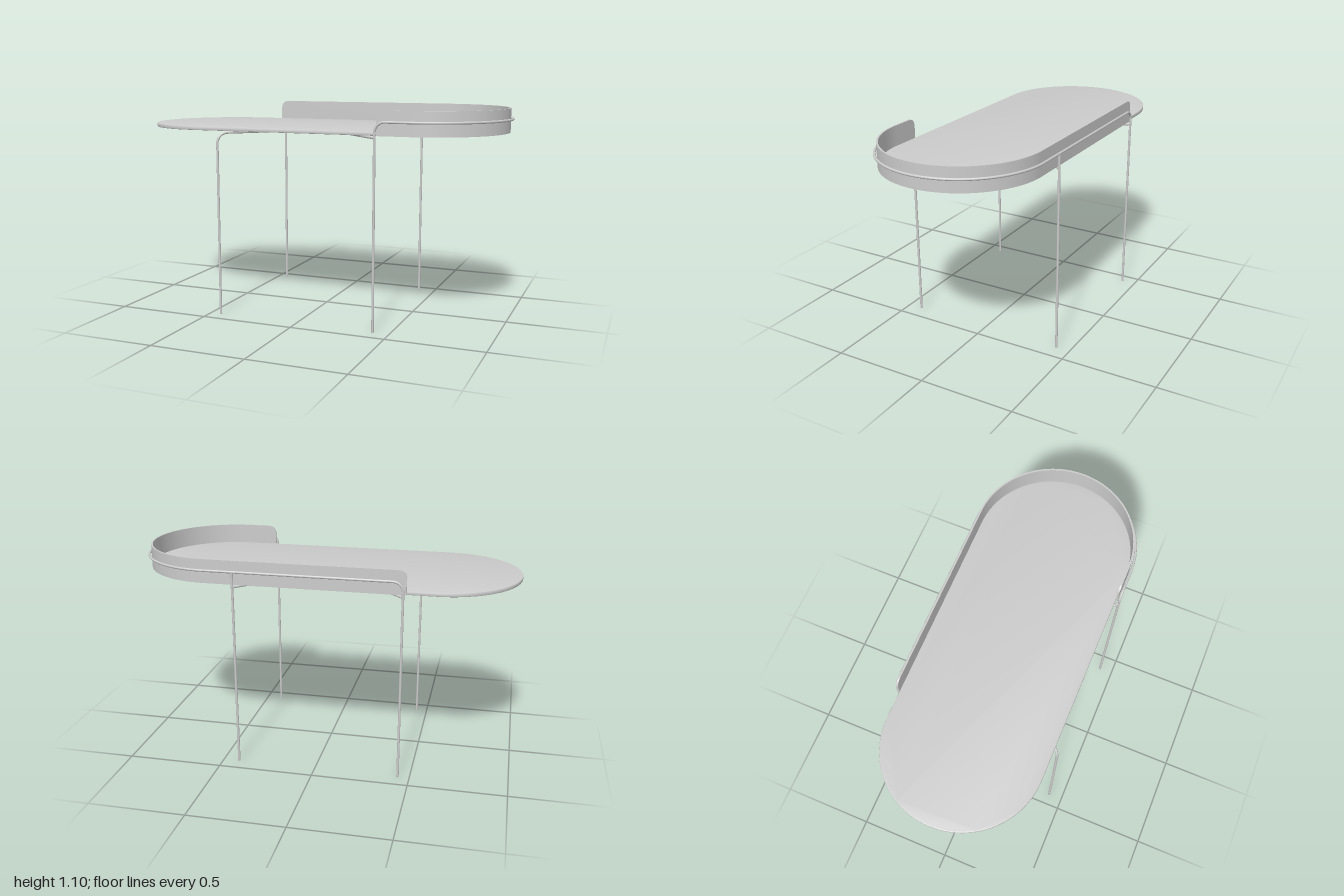
import * as THREE from 'three';
import { toCreasedNormals } from 'three/addons/utils/BufferGeometryUtils.js';

const V = (x, y, z) => new THREE.Vector3(x, y, z);
const R = 0.0065;                 // rod radius
const LEFT = 0.415, RIGHT = -0.44; // leg x positions
const LEG_Z = 0.424, RAIL_Y = 1.045, BAR_Y = 0.968;
const ARC_X = 0.57;               // centre of the rounded end

// Straight lines between points, with the corners rounded off
function roundedPath(points, r) {
  const path = new THREE.CurvePath();
  let start = points[0];
  for (let i = 1; i < points.length - 1; i++) {
    const p = points[i];
    const a = p.clone().add(points[i - 1].clone().sub(p).setLength(r));
    const b = p.clone().add(points[i + 1].clone().sub(p).setLength(r));
    const k = 0.55;
    path.add(new THREE.LineCurve3(start, a));
    path.add(new THREE.CubicBezierCurve3(a, a.clone().lerp(p, k), b.clone().lerp(p, k), b));
    start = b;
  }
  path.add(new THREE.LineCurve3(start, points[points.length - 1]));
  return path;
}

// Half circle around the +x end, from front to back
class EndArc extends THREE.Curve {
  getPoint(t, target = new THREE.Vector3()) {
    const a = Math.PI * (0.5 - t);
    return target.set(ARC_X + LEG_Z * Math.cos(a), RAIL_Y, LEG_Z * Math.sin(a));
  }
}

// Upright wall following the front, the rounded end and the back
function rimGeometry(outer, inner, y0, y1, frontX, backX, corner) {
  const stations = []; // [x, normal x, normal z, top y]
  const ease = [];
  for (let i = 0; i <= 8; i++) {
    const a = (i / 8) * Math.PI / 2;
    ease.push([corner * (1 - Math.cos(a)), y1 - corner * (1 - Math.sin(a))]);
  }
  for (const [d, y] of ease) stations.push([frontX + d, 0, 1, y]);
  for (let i = 0; i <= 64; i++) {
    const a = Math.PI * (0.5 - i / 64);
    stations.push([ARC_X, Math.cos(a), Math.sin(a), y1]);
  }
  for (const [d, y] of ease.reverse()) stations.push([backX + d, 0, -1, y]);

  const pos = [], index = [];
  for (const [x, nx, nz, top] of stations) {
    for (const [r, y] of [[outer, y0], [outer, top], [inner, top], [inner, y0]]) {
      pos.push(x + nx * r, y, nz * r);
    }
  }
  const n = stations.length;
  for (let i = 0; i < n - 1; i++) {
    for (let j = 0; j < 4; j++) {
      const a = i * 4 + j, b = i * 4 + (j + 1) % 4;
      index.push(a, a + 4, b, b, a + 4, b + 4);
    }
  }
  const e = (n - 1) * 4;
  index.push(0, 1, 2, 0, 2, 3, e, e + 2, e + 1, e, e + 3, e + 2);
  const g = new THREE.BufferGeometry();
  g.setAttribute('position', new THREE.Float32BufferAttribute(pos, 3));
  g.setIndex(index);
  return toCreasedNormals(g, 0.6);
}

export function createModel() {
  const group = new THREE.Group();
  const grey = new THREE.MeshStandardMaterial({ color: 0xcccccc, side: THREE.DoubleSide });
  grey.name = 'light grey';

  const add = (name, geometry) => {
    const mesh = new THREE.Mesh(geometry, grey);
    mesh.name = name;
    group.add(mesh);
    return mesh;
  };
  const rod = (name, path, segments) =>
    add(name, new THREE.TubeGeometry(path, segments, R, 10, false));
  const bar = (name, a, b) => rod(name, new THREE.LineCurve3(a, b), 1);

  // Tabletop with a slightly softened edge
  const bevel = 0.004, r = 0.405 - bevel;
  const shape = new THREE.Shape();
  shape.absarc(ARC_X, 0, r, -Math.PI / 2, Math.PI / 2, false);
  shape.absarc(-0.595, 0, r, Math.PI / 2, Math.PI * 1.5, false);
  const top = new THREE.ExtrudeGeometry(shape, {
    depth: 0.012, bevelEnabled: true, bevelThickness: bevel, bevelSize: bevel,
    bevelSegments: 2, curveSegments: 48,
  });
  top.rotateX(-Math.PI / 2).translate(0, 0.981, 0);
  add('tabletop', toCreasedNormals(top, 0.5));

  // Raised rim around one end
  add('rim', rimGeometry(0.413, 0.404, 0.977, 1.1, 0.42, -0.455, 0.04));

  // Front leg, rail around the rim and back leg, bent from one rod
  const frame = new THREE.CurvePath();
  const front = roundedPath([V(LEFT, 0, LEG_Z), V(LEFT, RAIL_Y, LEG_Z), V(ARC_X, RAIL_Y, LEG_Z)], 0.05);
  const back = roundedPath([V(ARC_X, RAIL_Y, -LEG_Z), V(RIGHT, RAIL_Y, -LEG_Z), V(RIGHT, 0, -LEG_Z)], 0.05);
  [...front.curves, new EndArc(), ...back.curves].forEach(c => frame.add(c));
  rod('railAndLegs', frame, 480);

  // Straight back leg up to the rail
  bar('backLeftLeg', V(LEFT, 0, -LEG_Z), V(LEFT, RAIL_Y, -LEG_Z));

  // Front right leg, bent into a diagonal under the top
  rod('frontRightLegAndBrace', roundedPath(
    [V(RIGHT, 0, LEG_Z), V(RIGHT, BAR_Y, LEG_Z), V(LEFT, BAR_Y, -LEG_Z)], 0.055), 200);

  // Second diagonal and the two cross bars
  bar('diagonalBrace', V(LEFT, BAR_Y, LEG_Z), V(RIGHT, BAR_Y, -LEG_Z));
  for (const x of [0.295, -0.32]) bar('crossBar', V(x, BAR_Y, 0.303), V(x, BAR_Y, -0.303));

  // Leg ends
  for (const x of [LEFT, RIGHT]) for (const z of [LEG_Z, -LEG_Z]) {
    add('foot', new THREE.CircleGeometry(R, 10).rotateX(Math.PI / 2)).position.set(x, 0, z);
  }
  return group;
}
